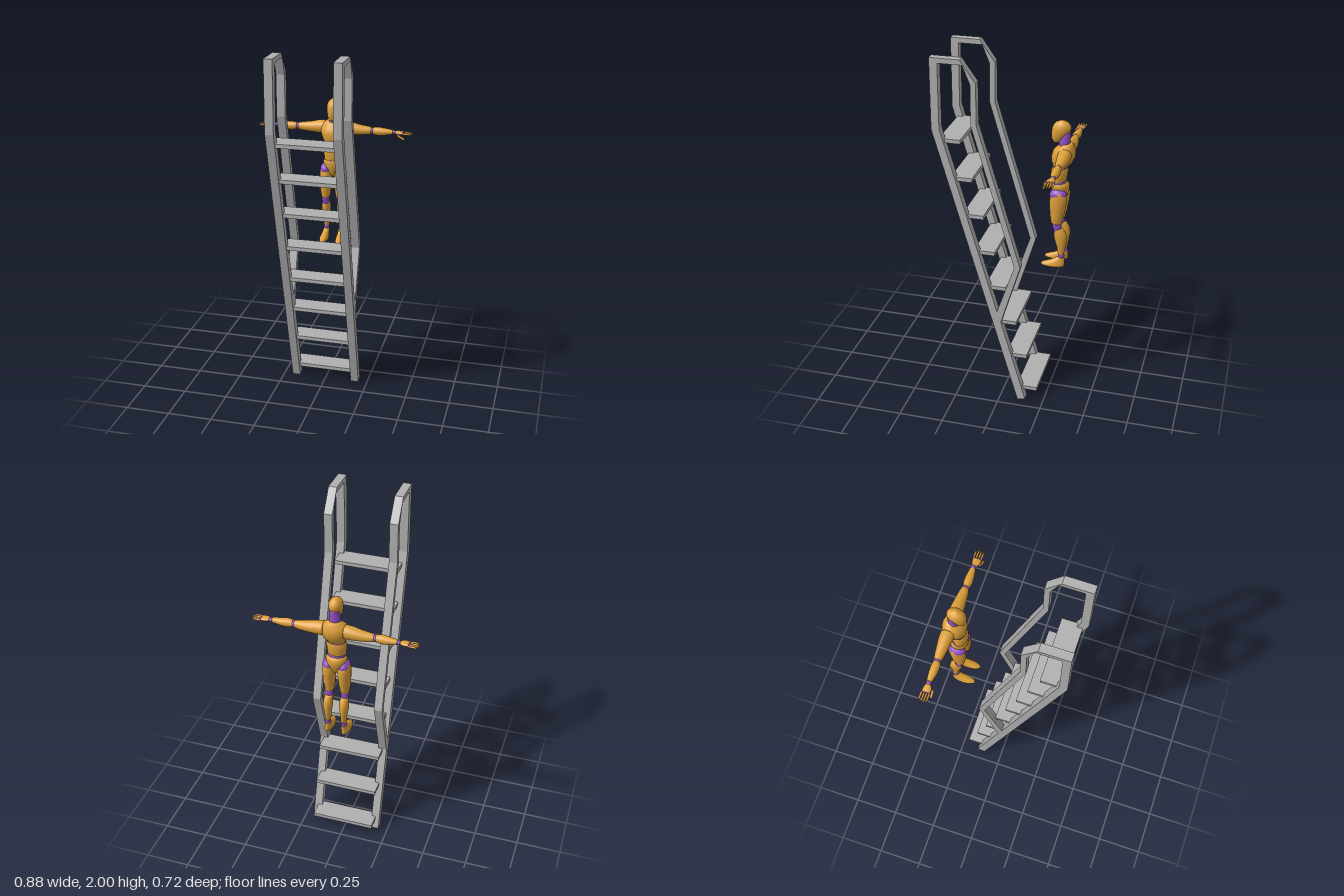
import * as THREE from 'three';

const SEG = 20;

// Rounded solid through elliptical rings.
// axis 'y': [y, halfX, halfZ, centreX, centreZ]; axis 'x': [x, halfZ, halfY, centreZ, centreY]
function loft(rings, axis = 'y', side = 1) {
  const first = rings[0], last = rings[rings.length - 1];
  const cap = (r, d) => [0.1, 0.5, 0.8].map((k) => {
    const f = Math.sqrt(1 - (1 - k) ** 2);
    return [r[0] + d * (1 - k) * Math.min(r[1], r[2]) * 0.35, r[1] * f, r[2] * f, r[3], r[4]];
  });
  const all = [...cap(first, -1), ...rings, ...cap(last, 1).reverse()];
  const pos = [], idx = [];
  const put = (t, u, v) => axis === 'y' ? pos.push(u, t, v) : pos.push(t * side, v, u);
  for (const [t, ru, rv, cu, cv] of all) {
    for (let j = 0; j < SEG; j++) {
      const a = (j / SEG) * Math.PI * 2;
      const sign = axis === 'x' ? side : 1;
      const centreU = axis === 'y' ? cu * side : cu;
      put(t, centreU + ru * Math.cos(a), cv + sign * rv * Math.sin(a));
    }
  }
  for (let i = 0; i < all.length - 1; i++) {
    for (let j = 0; j < SEG; j++) {
      const a = i * SEG + j, b = i * SEG + (j + 1) % SEG;
      idx.push(a, a + SEG, b, b, a + SEG, b + SEG);
    }
  }
  // end fans
  [[all[0], 0, false], [all[all.length - 1], (all.length - 1) * SEG, true]].forEach(([r, base, top]) => {
    const c = pos.length / 3;
    put(r[0], axis === 'y' ? r[3] * side : r[3], r[4]);
    for (let j = 0; j < SEG; j++) {
      const a = base + j, b = base + (j + 1) % SEG;
      top ? idx.push(c, b, a) : idx.push(c, a, b);
    }
  });
  const g = new THREE.BufferGeometry();
  g.setAttribute('position', new THREE.Float32BufferAttribute(pos, 3));
  g.setIndex(idx);
  g.computeVertexNormals();
  return g;
}

export function createModel() {
  const model = new THREE.Group();
  model.name = 'ladderWithMannequin';
  const material = (name, color) => {
    const m = new THREE.MeshStandardMaterial({ color });
    m.name = name;
    return m;
  };
  const steel = material('grey steel', 0xb0b0b0);
  const gold = material('golden body', 0xdc9f38);
  const purple = material('purple joint', 0x9050c8);

  const ladder = new THREE.Group();
  ladder.name = 'ladder';
  const figure = new THREE.Group();
  figure.name = 'mannequin';
  model.add(ladder, figure);

  const add = (parent, name, geometry, mat) => {
    const mesh = new THREE.Mesh(geometry, mat);
    mesh.name = name;
    parent.add(mesh);
    return mesh;
  };
  const ball = (name, mat, x, y, z, rx, ry = rx, rz = rx) => {
    const m = add(figure, name, new THREE.SphereGeometry(1, 20, 14), mat);
    m.position.set(x, y, z);
    m.scale.set(rx, ry, rz);
    return m;
  };

  // Side frames: sloping stringer and looped handrail, drawn as (z, y)
  const points = (list) => list.map(([z, y]) => new THREE.Vector2(z, y));
  const frame = new THREE.Shape(points([
    [-0.106, 0], [0.36, 1.615], [0.36, 2], [0.2, 2], [0.117, 1.883], [0.117, 1.66],
    [-0.117, 0.863], [-0.008, 0.505], [-0.15, 0.012],
  ]));
  frame.holes.push(new THREE.Path(points([
    [0.014, 0.57], [0.317, 1.62], [0.317, 1.973], [0.186, 1.973], [0.147, 1.875],
    [0.147, 1.655], [-0.084, 0.863],
  ])));
  for (const s of [1, -1]) {
    const g = new THREE.ExtrudeGeometry(frame, { depth: 0.046, bevelEnabled: false });
    g.rotateY(-Math.PI / 2);
    g.translate(s > 0 ? 0.2 : -0.154, 0, 0);
    add(ladder, s > 0 ? 'leftFrame' : 'rightFrame', g, steel);
  }

  // Treads
  for (let i = 0; i < 8; i++) {
    const tread = add(ladder, 'tread', new THREE.BoxGeometry(0.354, 0.022, 0.117), steel);
    tread.position.set(0, 0.074 + i * 0.2108, -0.1545 + i * 0.0609);
  }

  // Head and neck
  add(figure, 'head', loft([
    [1.54, 0.02, 0.02, 0, -0.26], [1.56, 0.029, 0.035, 0, -0.266], [1.585, 0.034, 0.046, 0, -0.277],
    [1.61, 0.037, 0.052, 0, -0.285], [1.63, 0.034, 0.046, 0, -0.287], [1.645, 0.024, 0.033, 0, -0.287],
    [1.653, 0.011, 0.015, 0, -0.287],
  ]), gold);
  add(figure, 'neck', loft([
    [1.49, 0.036, 0.034, 0, -0.305], [1.53, 0.031, 0.03, 0, -0.302], [1.59, 0.026, 0.026, 0, -0.308],
  ]), purple);

  // Torso
  add(figure, 'chest', loft([
    [1.405, 0.05, 0.042, 0, -0.285], [1.43, 0.064, 0.056, 0, -0.292], [1.46, 0.074, 0.063, 0, -0.298],
    [1.49, 0.076, 0.06, 0, -0.302], [1.512, 0.064, 0.046, 0, -0.308], [1.526, 0.042, 0.032, 0, -0.315],
  ]), gold);
  add(figure, 'waistJoint', loft([
    [1.38, 0.044, 0.036, 0, -0.282], [1.415, 0.05, 0.042, 0, -0.284],
  ]), purple);
  add(figure, 'abdomen', loft([
    [1.312, 0.048, 0.04, 0, -0.275], [1.345, 0.052, 0.045, 0, -0.276], [1.375, 0.054, 0.046, 0, -0.279],
    [1.392, 0.048, 0.04, 0, -0.281],
  ]), gold);
  add(figure, 'hipRing', loft([
    [1.28, 0.05, 0.042, 0, -0.28], [1.318, 0.049, 0.041, 0, -0.278],
  ]), purple);
  add(figure, 'pelvis', loft([
    [1.215, 0.016, 0.028, 0, -0.285], [1.24, 0.034, 0.04, 0, -0.285], [1.27, 0.053, 0.05, 0, -0.285],
    [1.295, 0.057, 0.05, 0, -0.284], [1.304, 0.053, 0.045, 0, -0.282],
  ]), gold);

  for (const s of [1, -1]) {
    const side = s > 0 ? 'left' : 'right';
    const leg = (part, mat, rings) => add(figure, side + part, loft(rings, 'y', s), mat);
    const arm = (part, mat, rings) => add(figure, side + part, loft(rings, 'x', s), mat);

    // Leg
    ball(side + 'HipJoint', purple, s * 0.042, 1.25, -0.282, 0.032, 0.034, 0.046);
    leg('Thigh', gold, [
      [1.085, 0.024, 0.029, 0.042, -0.277], [1.13, 0.031, 0.038, 0.042, -0.279],
      [1.19, 0.035, 0.045, 0.041, -0.282], [1.235, 0.035, 0.047, 0.042, -0.285],
      [1.262, 0.026, 0.035, 0.046, -0.285],
    ]);
    leg('Knee', purple, [
      [1.035, 0.019, 0.02, 0.043, -0.287], [1.065, 0.021, 0.025, 0.043, -0.28],
      [1.09, 0.021, 0.025, 0.042, -0.278],
    ]);
    leg('Shin', gold, [
      [0.9, 0.015, 0.017, 0.043, -0.306], [0.94, 0.018, 0.023, 0.044, -0.306],
      [0.99, 0.025, 0.035, 0.045, -0.303], [1.025, 0.025, 0.034, 0.044, -0.298],
      [1.048, 0.021, 0.024, 0.043, -0.293],
    ]);
    leg('Ankle', purple, [[0.868, 0.015, 0.018, 0.044, -0.307], [0.9, 0.015, 0.018, 0.043, -0.307]]);
    leg('Foot', gold, [
      [0.828, 0.025, 0.066, 0.047, -0.261], [0.84, 0.024, 0.063, 0.047, -0.264],
      [0.857, 0.019, 0.04, 0.045, -0.288], [0.878, 0.016, 0.022, 0.044, -0.305],
    ]);

    // Arm
    arm('UpperArm', gold, [
      [0.06, 0.038, 0.037, -0.315, 1.483], [0.095, 0.036, 0.036, -0.317, 1.482],
      [0.14, 0.031, 0.029, -0.317, 1.478], [0.18, 0.026, 0.025, -0.317, 1.477],
      [0.207, 0.02, 0.02, -0.317, 1.477],
    ]);
    ball(side + 'Elbow', purple, s * 0.214, 1.477, -0.316, 0.016, 0.019, 0.02);
    arm('Forearm', gold, [
      [0.222, 0.02, 0.02, -0.315, 1.477], [0.25, 0.024, 0.024, -0.315, 1.476],
      [0.285, 0.022, 0.02, -0.316, 1.476], [0.328, 0.015, 0.013, -0.317, 1.477],
    ]);
    ball(side + 'Wrist', purple, s * 0.337, 1.477, -0.317, 0.013, 0.011, 0.014);
    arm('Palm', gold, [
      [0.347, 0.015, 0.01, -0.315, 1.477], [0.365, 0.023, 0.011, -0.313, 1.476],
      [0.388, 0.024, 0.009, -0.314, 1.475],
    ]);

    // Fingers, each with a knuckle
    [0.43, 0.437, 0.438, 0.432].forEach((tip, k) => {
      const z = -0.335 + k * 0.0135;
      ball(side + 'Knuckle', purple, s * 0.392, 1.475, z, 0.0065);
      arm('Finger', gold, [
        [0.394, 0.0056, 0.0056, z, 1.475], [0.415, 0.0055, 0.0055, z, 1.475],
        [tip, 0.0045, 0.0045, z, 1.473],
      ]);
    });
    ball(side + 'ThumbJoint', purple, s * 0.364, 1.468, -0.291, 0.008);
    const thumb = add(figure, side + 'Thumb', new THREE.CapsuleGeometry(0.0065, 0.032, 5, 10), gold);
    thumb.position.set(s * 0.382, 1.457, -0.285);
    thumb.rotation.z = s * Math.PI * 0.34;
  }

  return model;
}
